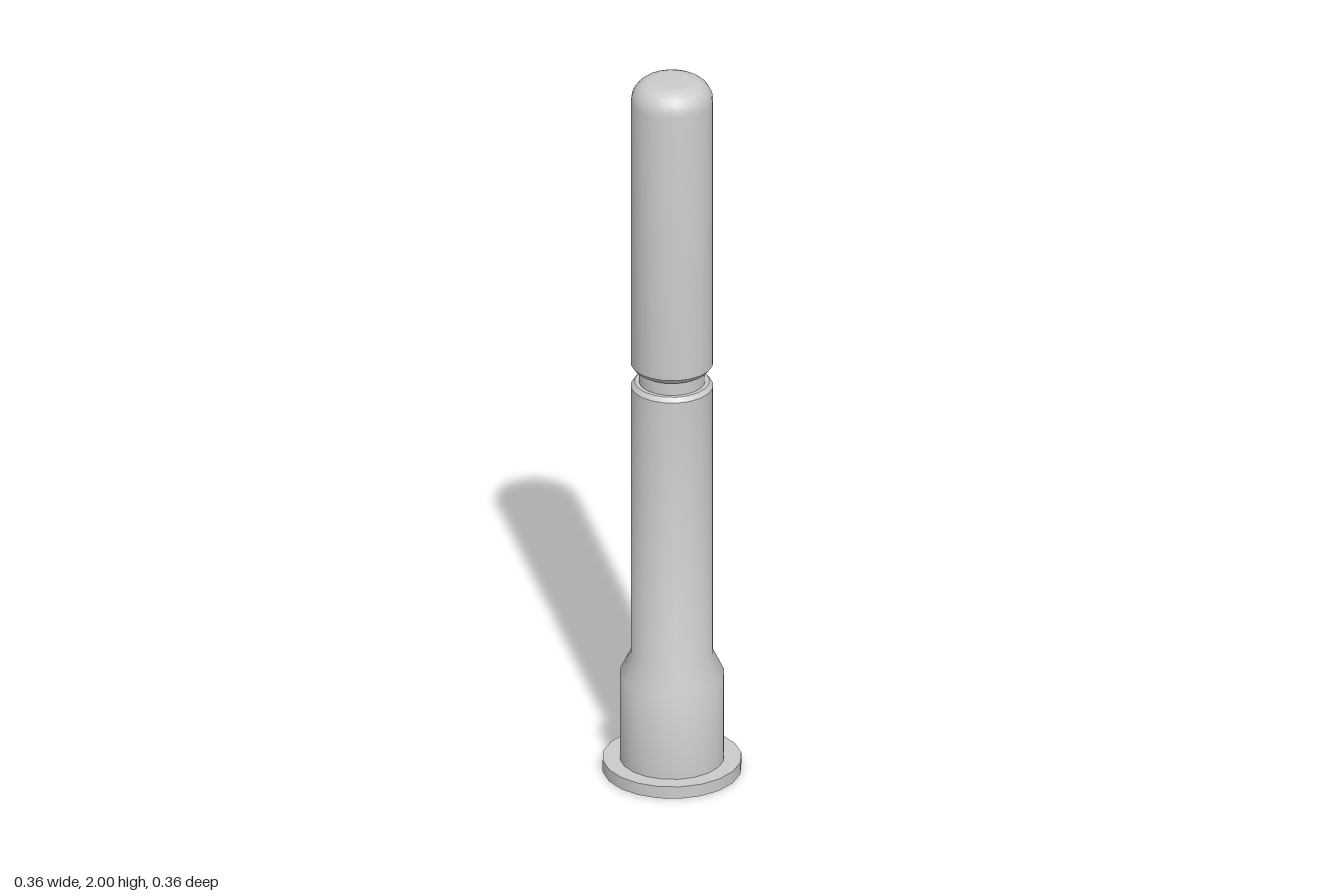
import * as THREE from 'three';
import { toCreasedNormals } from 'three/addons/utils/BufferGeometryUtils.js';

const SIDES = 20;
const material = new THREE.MeshStandardMaterial({ color: 0xcccccc });

// Turned part from [radius, height] pairs, listed from bottom to top
function turned(name, profile) {
  const points = profile.map(([r, y]) => new THREE.Vector2(r, y));
  const geometry = toCreasedNormals(new THREE.LatheGeometry(points, SIDES), 0.6);
  const mesh = new THREE.Mesh(geometry, material);
  mesh.name = name;
  return mesh;
}

export function createModel() {
  const group = new THREE.Group();
  group.name = 'pin';

  const shaft = 0.108, chamfer = 0.098, neck = 0.087;

  // Flat round flange the pin stands on
  group.add(turned('baseFlange', [[0, 0], [0.182, 0], [0.182, 0.034], [0, 0.034]]));

  // Thick sleeve tapering into the lower shaft, chamfered at the groove
  group.add(turned('lowerShaft', [
    [0.137, 0.034], [0.137, 0.28], [shaft, 0.34],
    [shaft, 1.113], [chamfer, 1.125], [neck, 1.125],
  ]));

  // Narrow neck at the bottom of the groove
  group.add(turned('grooveNeck', [[neck, 1.125], [neck, 1.165]]));

  // Upper shaft with a rounded tip
  const round = 0.06;
  const tip = [];
  for (let i = 0; i <= 6; i++) {
    const a = (i / 6) * Math.PI / 2;
    tip.push([shaft - round + round * Math.cos(a), 2 - round + round * Math.sin(a)]);
  }
  group.add(turned('upperShaft', [
    [neck, 1.165], [chamfer, 1.165], [shaft, 1.178], ...tip, [0, 2],
  ]));

  return group;
}
